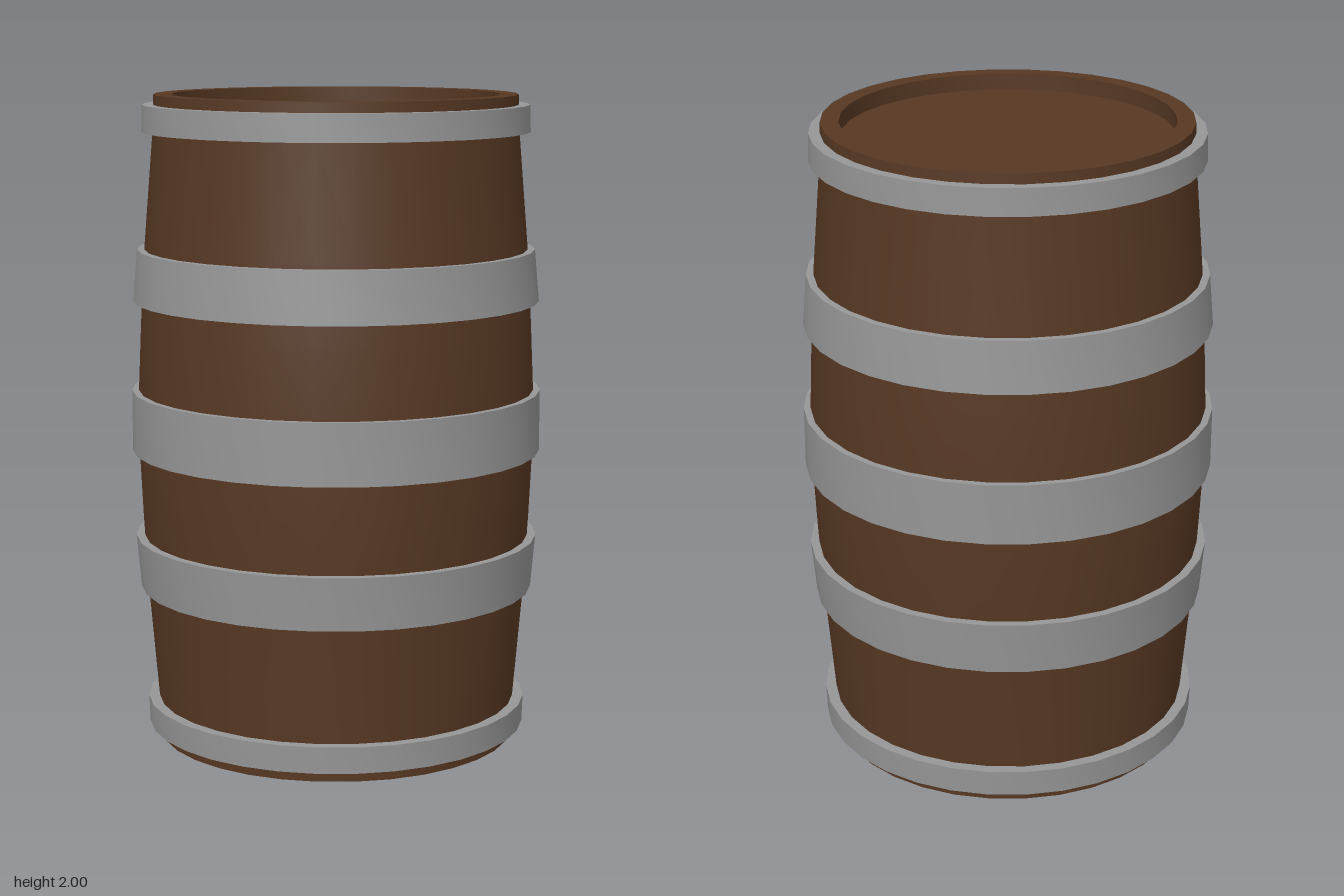
import * as THREE from 'three';
import { toCreasedNormals } from 'three/addons/utils/BufferGeometryUtils.js';

const SEGMENTS = 32;

export function createModel() {
  const model = new THREE.Group();
  model.name = 'barrel';

  const wood = new THREE.MeshStandardMaterial({ color: 0x573823 });
  wood.name = 'brown wood';
  const iron = new THREE.MeshStandardMaterial({ color: 0x969696 });
  iron.name = 'grey iron';

  // Turned part from [radius, height] points, smooth around with sharp rims
  function turned(name, points, material) {
    const profile = points.map(([r, y]) => new THREE.Vector2(r, y));
    const geometry = toCreasedNormals(new THREE.LatheGeometry(profile, SEGMENTS), 0.6);
    const mesh = new THREE.Mesh(geometry, material);
    mesh.name = name;
    model.add(mesh);
  }

  // Bulging staves with a recessed lid at each end
  const lower = [[0, 0.05], [0.5, 0.05], [0.5, 0], [0.555, 0], [0.558, 0.1],
    [0.588, 0.46], [0.602, 0.7], [0.611, 0.9]];
  const upper = lower.map(([r, y]) => [r, 2 - y]).reverse();
  turned('body', [...lower, ...upper], wood);

  // Hoop as a closed band: bottom face, outer face, top face, inner face
  function hoop(name, y0, y1, r0, r1, inner) {
    turned(name, [[inner, y0], [r0, y0], [r1, y1], [inner, y1], [inner, y0]], iron);
  }

  hoop('middleHoop', 0.907, 1.095, 0.632, 0.632, 0.6);
  hoop('lowerQuarterHoop', 0.475, 0.638, 0.611, 0.625, 0.58);
  hoop('upperQuarterHoop', 1.362 + 0.01, 1.53, 0.625, 0.611, 0.58);
  hoop('bottomHoop', 0.036, 0.118, 0.59, 0.593, 0.55);
  hoop('topHoop', 1.887, 1.969, 0.593, 0.59, 0.55);

  return model;
}
